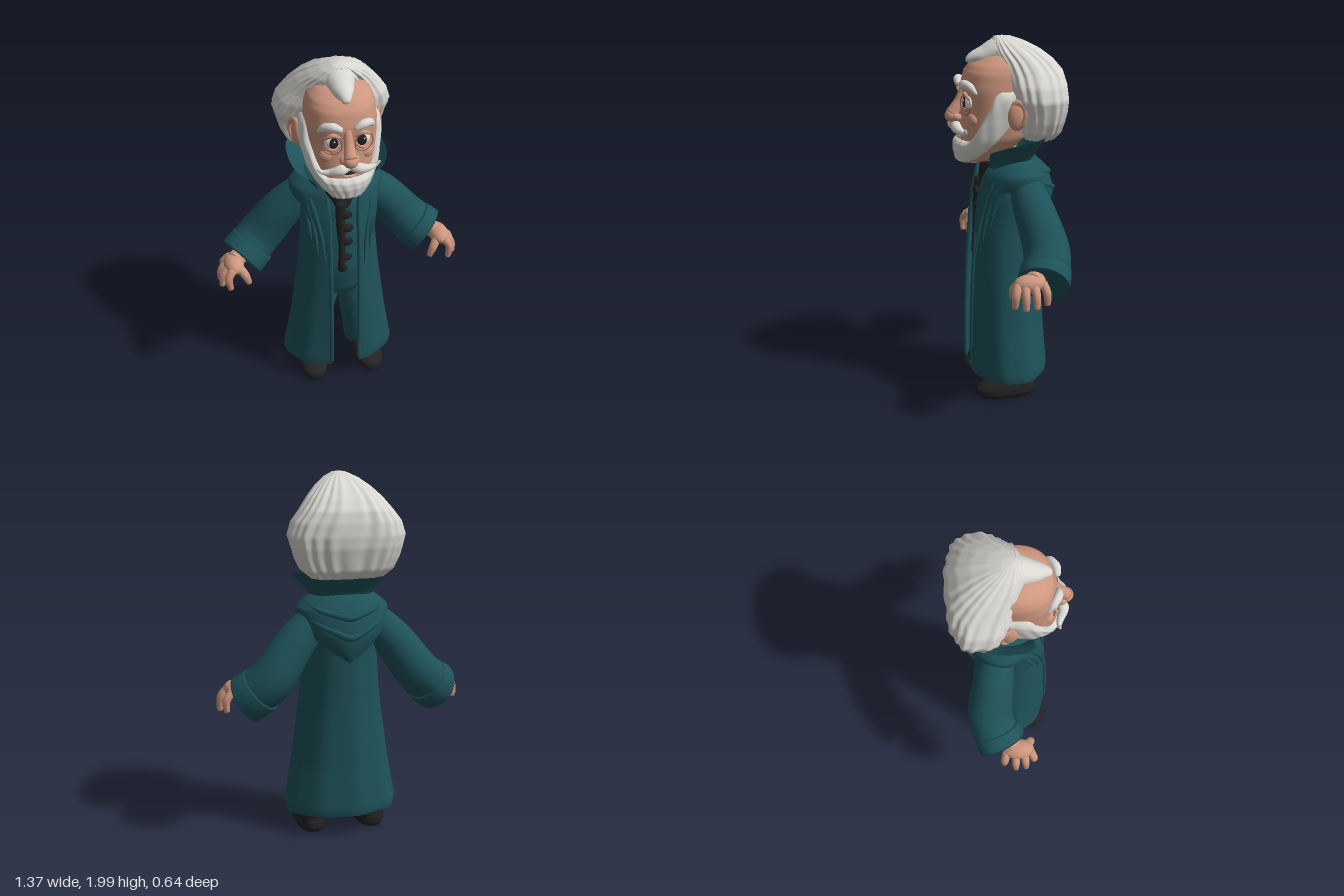
import * as THREE from 'three';
import { mergeVertices } from 'three/addons/utils/BufferGeometryUtils.js';

const V = (x, y, z) => new THREE.Vector3(x, y, z);
const { lerp, smoothstep } = THREE.MathUtils;

// Surface from a rule f(u, v), u and v in 0..1; seams are welded for smooth shading
function grid(f, nu, nv) {
  const pos = [], idx = [];
  for (let j = 0; j <= nv; j++) for (let i = 0; i <= nu; i++) pos.push(...f(i / nu, j / nv).toArray());
  for (let j = 0; j < nv; j++) for (let i = 0; i < nu; i++) {
    const a = j * (nu + 1) + i, b = a + 1, c = b + nu + 1, d = a + nu + 1;
    idx.push(a, b, c, a, c, d);
  }
  let g = new THREE.BufferGeometry();
  g.setAttribute('position', new THREE.Float32BufferAttribute(pos, 3));
  g.setIndex(idx);
  g = mergeVertices(g, 1e-5);
  g.computeVertexNormals();
  return g;
}

// Linear sample of a table at a fractional index
function sample(table, t) {
  const i = Math.min(Math.floor(t), table.length - 2), k = t - i;
  return Array.isArray(table[0]) ? table[i].map((q, n) => lerp(q, table[i + 1][n], k)) : lerp(table[i], table[i + 1], k);
}
function ringAt(rings, y) {
  let i = 0;
  while (i < rings.length - 2 && rings[i + 1][0] < y) i++;
  const k = THREE.MathUtils.clamp((y - rings[i][0]) / (rings[i + 1][0] - rings[i][0]), 0, 1);
  return rings[i].map((q, n) => lerp(q, rings[i + 1][n], k));
}
// Point on a rounded cross-section [y, zFront, zBack, halfWidth]; angle a starts at the front
const pw = (s, n) => Math.sign(s) * Math.abs(s) ** (2 / n);
function section(r, a, n = 2.3, off = 0) {
  const cz = (r[1] + r[2]) / 2, rz = (r[1] - r[2]) / 2;
  return V((r[3] + off) * pw(Math.sin(a), n), r[0], cz + (rz + off) * pw(Math.cos(a), n));
}
const loft = (rings, n = 2.3, sub = 4, groove = () => 0, around = 64) => grid((u, v) => {
  const a = u * Math.PI * 2, r = sample(rings, v * (rings.length - 1));
  return section(r, a, n, groove(a, r[0]) * Math.min(1, r[3] / 0.15));
}, around, (rings.length - 1) * sub);

// Tube along points with changing radius and closed, rounded ends
function taper(points, radii, seg = 20, sides = 14) {
  const curve = new THREE.CatmullRomCurve3(points.map(p => V(...p)));
  let g = new THREE.TubeGeometry(curve, seg, 1, sides);
  const p = g.attributes.position, q = V(0, 0, 0);
  for (let k = 0; k < p.count; k++) {
    const i = Math.floor(k / (sides + 1)), t = i / seg, c = curve.getPointAt(t);
    const r = i === 0 || i === seg ? 0 : sample(radii, t * (radii.length - 1));
    q.fromBufferAttribute(p, k).sub(c).multiplyScalar(r).add(c);
    p.setXYZ(k, q.x, q.y, q.z);
  }
  g.deleteAttribute('uv');
  g.deleteAttribute('normal');
  g = mergeVertices(g, 1e-5);
  g.computeVertexNormals();
  return g;
}
const ball = (c, s) => new THREE.SphereGeometry(1, 24, 16).scale(...s).translate(...c);

const HEAD = [[1.31, .15, .15, 0], [1.34, .24, .06, .08], [1.4, .252, -.05, .13], [1.47, .245, -.12, .165],
  [1.55, .235, -.14, .18], [1.64, .222, -.15, .188], [1.73, .23, -.15, .186], [1.81, .21, -.15, .178],
  [1.85, .18, -.15, .162], [1.885, .12, -.14, .128], [1.91, .05, -.1, .07], [1.915, -.02, -.02, 0]];
const HAIR = [[1.45, -.16, -.16, 0], [1.455, -.08, -.25, .19], [1.5, -.05, -.285, .245], [1.56, -.045, -.3, .275],
  [1.62, -.03, -.315, .292], [1.68, 0, -.32, .308], [1.75, .02, -.315, .285], [1.81, .03, -.3, .238],
  [1.87, .045, -.25, .19], [1.92, .065, -.185, .14], [1.96, .065, -.11, .088], [1.985, .05, -.04, .037], [1.992, .01, .01, 0]];
// coat rows end with half the width of the front opening
const COAT = [[.12, .21, -.225, .315, .08], [.15, .215, -.232, .32, .08], [.4, .212, -.215, .275, .08],
  [.75, .202, -.2, .226, .08], [1, .185, -.2, .205, .08], [1.15, .165, -.2, .208, .08], [1.28, .14, -.175, .19, .09], [1.36, .1, -.125, .13, .1]];

// u runs from one front edge (-1) round the back (0) to the other (1)
function coatPoint(u, y, off = 0) {
  const r = ringAt(COAT, y), a0 = Math.asin(r[4] / r[3]);
  return section(r, Math.PI + u * (Math.PI - a0), 2, off);
}
function onHead(x, y) {
  const r = ringAt(HEAD, y);
  return section(r, Math.asin((Math.abs(x) / r[3]) ** 1.15) * Math.sign(x));
}

export function createModel() {
  const root = new THREE.Group();
  const mat = (name, color, side = THREE.FrontSide) => {
    const m = new THREE.MeshStandardMaterial({ color, side });
    m.name = name;
    return m;
  };
  const coatCloth = mat('teal coat', 0x1e5259), teal = mat('teal cloth', 0x1e5259, THREE.DoubleSide);
  const skin = mat('skin', 0xcd967e), white = mat('white hair', 0xd8d7d2, THREE.DoubleSide);
  const black = mat('black', 0x232323), eye = mat('eye white', 0xe9e6e0), crease = mat('dark skin', 0x8f5d4c);
  const add = (name, geo, m) => {
    const mesh = new THREE.Mesh(geo, m);
    mesh.name = name;
    root.add(mesh);
  };

  // Head, hair and beard
  add('head', loft(HEAD), skin);
  add('hair', loft(HAIR, 2.7, 5, (a, y) => .004 * Math.sin(22 * a + 2 * Math.sin(y * 9)) + .003 * Math.sin(9 * a), 220), white);
  add('foreheadTuft', taper([[0, 1.87, -.1], [0, 1.912, .02], [0, 1.89, .11], [0, 1.882, .165], [0, 1.862, .205]],
    [.07, .08, .064, .044, .012], 28, 20).scale(1.2, 1, 1), white);
  add('beard', grid((u, v) => {
    const a = (u * 2 - 1) * 1.95, s = Math.abs(a);
    const low = 1.305 + .03 * s * s + .2 * smoothstep(s, 1.25, 1.95);
    const y = lerp(low, 1.46 + .27 * smoothstep(s, .65, 1.5), v);
    const edge = Math.max(0, Math.min(1, 8 * v, 6 * (1 - v), (1.95 - s) * 5));
    return section(ringAt(HEAD, y), a, 2.3, -.006 + .03 * Math.sqrt(edge) + .002 * Math.sin(a * 22 + v * 5));
  }, 88, 24), white);
  add('mouth', ball([0, 1.485, .238], [.045, .012, .012]), black);
  add('lowerLip', ball([0, 1.468, .242], [.035, .01, .016]), skin);

  // Nose
  add('noseBridge', taper([[0, 1.73, .21], [0, 1.65, .245], [0, 1.585, .283]], [.02, .025, .036]), skin);
  add('noseTip', ball([0, 1.58, .284], [.038, .035, .035]), skin);

  for (const s of [-1, 1]) {
    const m = pts => pts.map(([x, y, z]) => [s * x, y, z]);
    // Face pairs
    const e = onHead(s * .077, 1.662);
    add('eyeball', ball([e.x, e.y, e.z - .006], [.04, .041, .026]), eye);
    add('iris', ball([e.x - s * .004, e.y, e.z + .012], [.025, .031, .011]), black);
    add('eyeGlint', ball([e.x + .006, e.y + .011, e.z + .021], [.005, .005, .003]), eye);
    add('upperLid', taper(m([[.035, 1.682, e.z + .008], [.077, 1.708, e.z + .016], [.12, 1.682, e.z - .002]]), [.006, .012, .006]), skin);
    add('lowerLid', taper(m([[.037, 1.645, e.z + .006], [.077, 1.621, e.z + .012], [.118, 1.645, e.z - .004]]), [.005, .01, .005]), skin);
    add('spectacleRim', new THREE.TorusGeometry(.052, .0025, 8, 32).rotateY(s * .3).translate(s * .083, 1.65, e.z + .012), crease);
    add('eyebrow', taper(m([[.03, 1.732, .236], [.075, 1.757, .232], [.115, 1.748, .207], [.145, 1.71, .175]]), [.014, .023, .021, .007]), white);
    add('nostril', ball([s * .03, 1.575, .26], [.021, .021, .026]), skin);
    add('cheek', ball([s * .092, 1.572, .182], [.05, .043, .037]), skin);
    add('mustache', taper(m([[0, 1.533, .255], [.05, 1.524, .268], [.1, 1.508, .25], [.14, 1.512, .24], [.165, 1.538, .245]]),
      [.018, .029, .022, .013, .005], 28), white);
    add('ear', ball([s * .208, 1.605, -.02], [.03, .08, .05]), skin);
    add('earRim', new THREE.TorusGeometry(.04, .011, 8, 24).scale(1, 1.5, 1).rotateY(s * 1.1).translate(s * .222, 1.615, -.02), skin);

    // Sleeve, cuff and hand
    add('sleeve', taper(m([[.12, 1.25, -.065], [.28, 1.08, -.105], [.41, .905, -.13], [.525, .803, -.085]]), [.085, .108, .122, .126], 30, 24), teal);
    add('cuff', taper(m([[.455, .858, -.112], [.492, .825, -.097], [.54, .79, -.073]]), [.13, .136, .136], 14, 24), teal);
    add('palm', ball([s * .588, .828, .012], [.055, .048, .085]), skin);
    add('wrist', taper(m([[.5, .83, -.06], [.55, .84, -.03], [.59, .835, 0]]), [.045, .05, .045]), skin);
    [[.638, .718, -.068], [.67, .712, -.006], [.665, .706, .05], [.622, .71, .098]].forEach(([x, y, z]) =>
      add('finger', taper(m([[.597, .835, z * .75], [(x + .612) / 2 + .012, .79, z * .95], [x, y, z]]), [.024, .022, .015], 16, 10), skin));
    add('thumb', taper(m([[.57, .83, .05], [.54, .79, .08], [.515, .725, .085]]), [.026, .024, .015], 16, 10), skin);

    // Coat edge, front lining and draped lapel folds
    const edge = [.125, .4, .75, 1, 1.15, 1.28].map(y => coatPoint(s, y).toArray());
    add('coatEdge', taper(edge, [.012, .012], 40, 10), teal);
    add('frontLining', grid((u, v) => coatPoint(s * lerp(.66, 1, u), lerp(.125, 1.2, v), -.01), 16, 20), teal);
    [[.96, .83], [.89, .9], [.82, .98]].forEach(([u, low]) => {
      const pts = [low, (low + 1.26) / 2, 1.24, 1.31].map((y, i) => coatPoint(s * (u - [0, .04, .13, .24][i]), y, .012).toArray());
      add('lapelFold', taper(pts, [.003, .011, .015, .01], 28, 10), teal);
    });

    // Leg and shoe
    const foot = s > 0 ? .145 : .165;
    add('trouserLeg', taper(m([[.08, .74, 0], [.088, .5, -.01], [foot - .03, .28, -.035], [foot, .06, -.07]]), [.085, .088, .082, .082], 24, 20), teal);
    add('bootAnkle', taper(m([[.158, .17, -.04], [.165, .1, -.045], [.17, .04, -.03]]), [.07, .084, .08]), black);
    const shoe = [[0, .03, .03, 0], [.002, .18, -.12, .072], [.025, .2, -.132, .085], [.055, .195, -.132, .086],
      [.085, .15, -.125, .08], [.115, .06, -.12, .07], [.125, -.04, -.04, 0]];
    add('shoe', loft(shoe, 2.4).translate(s * .17, 0, 0), black);
  }

  // Long coat
  add('coat', grid((u, v) => coatPoint(u * 2 - 1, lerp(.12, 1.36, v), .004 * Math.sin(u * 50) * (1 - v)), 80, 40), coatCloth);

  // Hood lying on the back, running forward into the lapels
  const hoodLow = s => lerp(1.0, 1.2, Math.min(1, s / .45)) - .26 * smoothstep(s, .68, 1);
  add('hood', grid((u, v) => {
    const w = u * 2 - 1, s = Math.abs(w), bulge = lerp(.07, .014, smoothstep(s, .45, .95));
    const puff = Math.sin(Math.PI * Math.min(1, .1 + v * .9)) ** .45;
    return coatPoint(w, lerp(hoodLow(s), 1.365, v), bulge * puff);
  }, 72, 24), teal);
  // Folds across the hood
  [[.4, .068], [.68, .062]].forEach(([v, off]) => {
    const pts = Array.from({ length: 11 }, (_, i) => {
      const w = (i - 5) * .11, s = Math.abs(w);
      return coatPoint(w, lerp(hoodLow(s), 1.36, v), off - .03 * s).toArray();
    });
    add('hoodFold', taper(pts, [.006, .015, .018, .015, .006], 40, 10), teal);
  });

  // Flared standing collar
  add('collar', grid((u, v) => {
    const w = u * 2 - 1, a = Math.PI + w * 2.3;
    const r = sample([[1.31, .14, -.13, .15], [1.37, .155, -.155, .19], [lerp(1.5, 1.415, w * w), .175, -.235, .262]], v * 2);
    return section(r, a, 2.8);
  }, 48, 10), teal);

  // Waistcoat, neck and black shirt front with scalloped edge
  add('waistcoat', loft([[.56, 0, 0, 0], [.6, .13, -.1, .12], [.78, .165, -.13, .16], [1, .155, -.14, .165],
    [1.2, .13, -.13, .16], [1.31, .09, -.1, .1], [1.33, -.01, -.01, 0]]), teal);
  add('neck', new THREE.CylinderGeometry(.09, .1, .2, 24).translate(0, 1.31, .02), skin);
  add('shirtCollar', loft([[1.14, .12, .12, 0], [1.2, .142, .05, .05], [1.27, .132, -.06, .095], [1.33, .12, -.1, .115], [1.335, 0, 0, 0]]), black);
  add('shirtFront', taper([[-.012, 1.24, .128], [-.016, 1.1, .143], [-.012, .95, .152], [-.015, .79, .16]], [.03, .026, .02, .022], 30, 12), black);
  [[.012, 1.16], [.018, 1.07], [.016, .98], [.012, .875], [-.008, .8]].forEach(([x, y]) =>
    add('shirtScallop', ball([x, y, .157], [.032, .026, .018]), black));
  return root;
}
